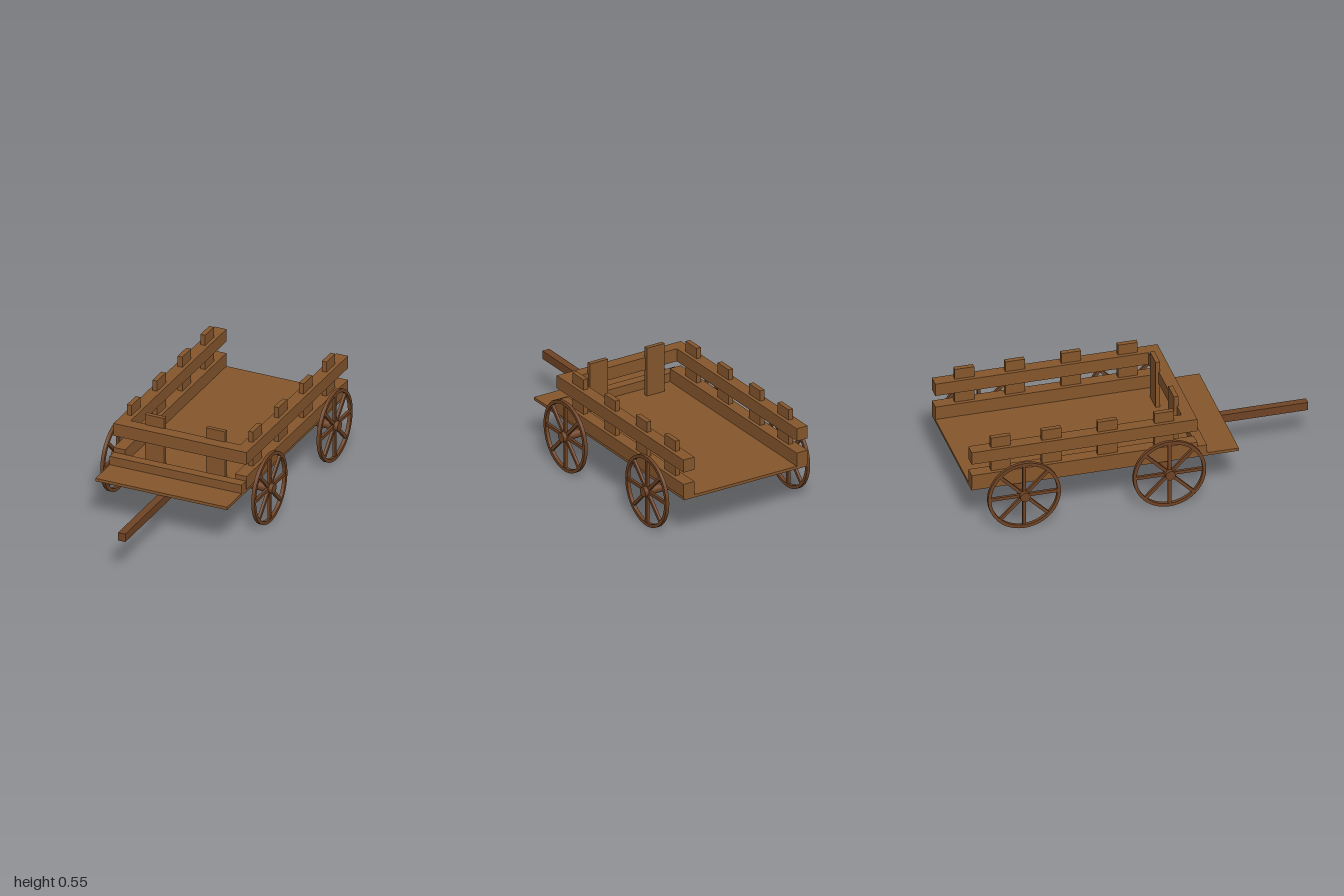
import * as THREE from 'three';
import { toCreasedNormals } from 'three/addons/utils/BufferGeometryUtils.js';

export function createModel() {
  const cart = new THREE.Group();
  cart.name = 'woodenCart';

  const plankWood = new THREE.MeshStandardMaterial({ color: 0x85562c });
  plankWood.name = 'plankWood';
  const darkWood = new THREE.MeshStandardMaterial({ color: 0x6f4324 });
  darkWood.name = 'darkWood';

  function add(parent, name, geometry, material) {
    const mesh = new THREE.Mesh(geometry, material);
    mesh.name = name;
    parent.add(mesh);
    return mesh;
  }

  // Box given by its limits on each axis
  function board(name, [x0, x1], [y0, y1], [z0, z1], material = plankWood) {
    const mesh = add(cart, name, new THREE.BoxGeometry(x1 - x0, y1 - y0, z1 - z0), material);
    mesh.position.set((x0 + x1) / 2, (y0 + y1) / 2, (z0 + z1) / 2);
  }

  // Bed, front boards and drawbar
  board('floor', [-0.396, 0.396], [0.245, 0.262], [-1, 0.505]);
  board('lowerFrontBoard', [-0.397, 0.397], [0.262, 0.313], [0.27, 0.325]);
  board('upperFrontRail', [-0.33, 0.33], [0.412, 0.487], [0.2, 0.27]);
  board('drawbar', [-0.022, 0.022], [0.197, 0.245], [0.24, 1], darkWood);

  // Side rails and posts, mirrored
  for (const [side, s] of [['left', 1], ['right', -1]]) {
    const span = (a, b) => (s > 0 ? [a, b] : [-b, -a]);
    board(side + 'LowerRail', span(0.33, 0.4), [0.262, 0.341], [-1, 0.27]);
    board(side + 'UpperRail', span(0.33, 0.4), [0.412, 0.487], [-1, 0.27]);
    for (const z of [0.09, -0.23, -0.545, -0.83]) {
      board(side + 'Post', span(0.351, 0.379), [0.3, 0.549], [z - 0.055, z + 0.055]);
    }
    board(side + 'FrontPost', span(0.126, 0.24), [0.262, 0.549], [0.183, 0.208]);
  }

  // Wheel parts, built around the x axis
  const R = 0.205, rimInner = 0.186, thickness = 0.02;
  const ring = new THREE.Shape().absarc(0, 0, R, 0, Math.PI * 2);
  ring.holes.push(new THREE.Path().absarc(0, 0, rimInner, 0, Math.PI * 2, true));
  const rim = toCreasedNormals(
    new THREE.ExtrudeGeometry(ring, { depth: thickness, bevelEnabled: false, curveSegments: 40 })
      .translate(0, 0, -thickness / 2).rotateY(Math.PI / 2), 0.6);
  const hub = new THREE.CylinderGeometry(0.028, 0.028, 0.06, 24).rotateZ(Math.PI / 2);
  const spoke = new THREE.BoxGeometry(0.016, 0.18, 0.018).translate(0, 0.1, 0);
  const axle = new THREE.CylinderGeometry(0.025, 0.025, 0.9, 24).rotateZ(Math.PI / 2);

  // Two axles with a wheel at each end
  for (const [place, z] of [['front', 0.097], ['rear', -0.721]]) {
    add(cart, place + 'Axle', axle, darkWood).position.set(0, R, z);
    for (const s of [1, -1]) {
      const wheel = new THREE.Group();
      wheel.name = place + (s > 0 ? 'Left' : 'Right') + 'Wheel';
      wheel.position.set(s * 0.454, R, z);
      add(wheel, 'rim', rim, darkWood);
      add(wheel, 'hub', hub, darkWood);
      for (let i = 0; i < 8; i++) {
        add(wheel, 'spoke', spoke, darkWood).rotation.x = (i * Math.PI) / 4;
      }
      cart.add(wheel);
    }
  }

  return cart;
}
